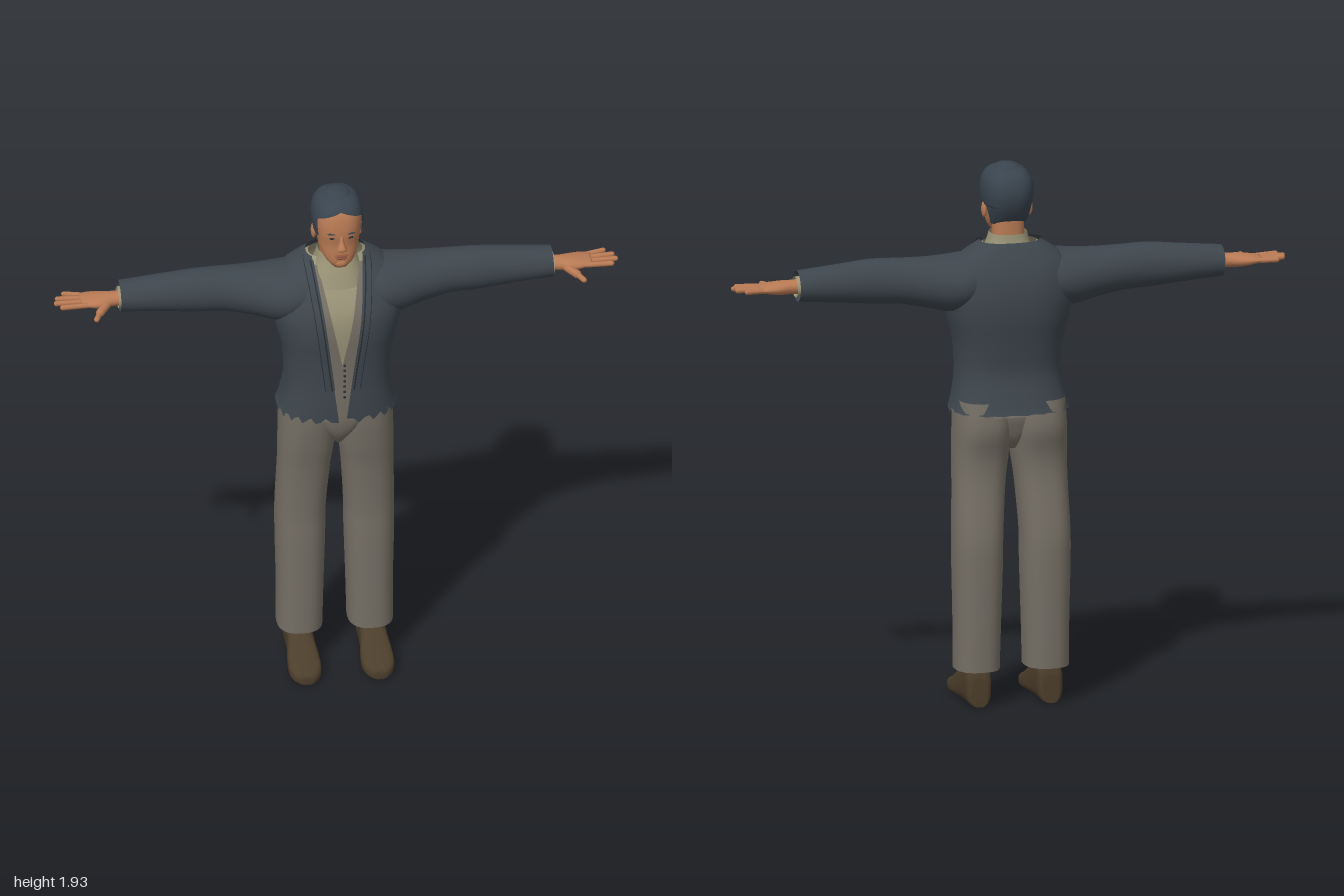
import * as THREE from 'three';

const mat = (name, color, side = THREE.DoubleSide) =>
  Object.assign(new THREE.MeshStandardMaterial({ color, side }), { name });
const V = (x, y, z) => new THREE.Vector3(x, y, z);
const pw = (v, e = 0.8) => Math.sign(v) * Math.abs(v) ** e;

// Spline through every column of a table of cross-sections
function smooth(rows, steps = 4) {
  const cols = rows[0].map((_, k) => new THREE.SplineCurve(rows.map((r, i) => new THREE.Vector2(i, r[k]))));
  const n = (rows.length - 1) * steps;
  return Array.from({ length: n + 1 }, (_, i) => cols.map(c => c.getPoint(i / n).y));
}

// Cross-section at height y, from a dense table
function at(rows, y) {
  let i = 0;
  while (i < rows.length - 2 && rows[i + 1][0] < y) i++;
  const t = THREE.MathUtils.clamp((y - rows[i][0]) / (rows[i + 1][0] - rows[i][0]), 0, 1);
  return rows[i].map((v, k) => v + (rows[i + 1][k] - v) * t);
}

// Skin over cross-sections; span(row) limits the arc, otherwise rings are closed
function loft(name, material, rows, ring, { n = 28, span = null, caps = false } = {}) {
  const pos = [], idx = [], w = span ? n + 1 : n;
  rows.forEach(r => {
    const [a0, a1] = span ? span(r) : [0, Math.PI * 2];
    for (let j = 0; j < w; j++) pos.push(...ring(r, a0 + (a1 - a0) * j / n).toArray());
  });
  for (let i = 0; i < rows.length - 1; i++) for (let j = 0; j < n; j++) {
    const a = i * w + j, b = i * w + (j + 1) % w;
    idx.push(a, b, a + w, b, b + w, a + w);
  }
  if (caps) [0, rows.length - 1].forEach((i, end) => {
    const c = V(0, 0, 0), id = pos.length / 3;
    for (let j = 0; j < n; j++) c.add(V(...pos.slice((i * w + j) * 3, (i * w + j) * 3 + 3)));
    pos.push(...c.divideScalar(n).toArray());
    for (let j = 0; j < n; j++) {
      const a = i * w + j, b = i * w + (j + 1) % n;
      end ? idx.push(a, b, id) : idx.push(b, a, id);
    }
  });
  const g = new THREE.BufferGeometry();
  g.setAttribute('position', new THREE.Float32BufferAttribute(pos, 3));
  g.setIndex(idx);
  g.computeVertexNormals();
  const m = new THREE.Mesh(g, material);
  m.name = name;
  return m;
}

// Rings across y [y, rx, zFront, zBack, xCentre], across x [x, y, ry, z, rz], across z [z, rx, h]
const ringY = ([y, rx, f, b, xc = 0], a) => V(xc + rx * pw(Math.sin(a)), y, (f + b) / 2 + (f - b) / 2 * pw(Math.cos(a)));
const ringX = ([x, y, ry, z, rz], a) => V(x, y + ry * Math.cos(a), z + rz * Math.sin(a));
const ringZ = ([z, rx, h], a) => V(rx * pw(Math.cos(a), 0.7), h / 2 + h / 2 * pw(Math.sin(a), 0.6), z);

const TORSO = smooth([
  [1.05, 0.212, 0.148, -0.17], [1.12, 0.195, 0.15, -0.152], [1.2, 0.186, 0.15, -0.138], [1.3, 0.194, 0.155, -0.15],
  [1.4, 0.218, 0.163, -0.168], [1.48, 0.23, 0.155, -0.172], [1.55, 0.222, 0.122, -0.162], [1.6, 0.195, 0.088, -0.142],
  [1.64, 0.145, 0.055, -0.118], [1.665, 0.105, 0.04, -0.1]]);
const HEAD = smooth([
  [1.667, 0.026, 0.108, 0.06], [1.69, 0.05, 0.119, 0.0], [1.72, 0.066, 0.12, -0.04], [1.76, 0.074, 0.119, -0.07],
  [1.8, 0.08, 0.124, -0.088], [1.84, 0.083, 0.121, -0.093], [1.88, 0.076, 0.11, -0.083], [1.91, 0.055, 0.082, -0.056],
  [1.926, 0.018, 0.035, -0.012]]);

const heights = (a, b, n) => Array.from({ length: n + 1 }, (_, i) => a + (b - a) * i / n);
const grow = (table, ys, o) => ys.map(y => at(table, y)).map(([y, rx, f, b]) => [y, rx + o, f + o, b - o]);
const angleAt = (row, x) => Math.asin(Math.min(0.985, Math.max(0, x) / row[1]) ** 1.25);
const opening = y => 0.03 + (y - 1.19) * 0.125;
const around = a => [a, Math.PI * 2 - a];

function ball(name, material, p, s) {
  const m = new THREE.Mesh(new THREE.SphereGeometry(1, 14, 10), material);
  m.position.set(...p);
  m.scale.set(...s);
  m.name = name;
  return m;
}

function limb(name, material, p0, p1, r) {
  const a = V(...p0), d = V(...p1).sub(a);
  const m = new THREE.Mesh(new THREE.CapsuleGeometry(r, d.length(), 4, 10), material);
  m.position.copy(a).addScaledVector(d, 0.5);
  m.quaternion.setFromUnitVectors(V(0, 1, 0), d.normalize());
  m.name = name;
  return m;
}

export function createModel() {
  const model = new THREE.Group();
  model.name = 'standingMan';
  const jacket = mat('jacketSlate', 0x3e464d), trim = mat('trimDark', 0x292d31), hair = mat('hairSlate', 0x39444e);
  const trousers = mat('trouserGrey', 0x756f65), shirt = mat('shirtKhaki', 0x9a9377), skin = mat('skin', 0xb87a54);
  const lip = mat('lipBrown', 0x8f5440), shoe = mat('shoeBrown', 0x4c3e2b);
  const add = (...m) => model.add(...m);

  // Torso layers: shirt, vest open in a V, open jacket with a ragged hem
  add(loft('shirt', shirt, grow(TORSO, heights(1.12, 1.66, 24), -0.018), ringY, { n: 40 }));
  add(loft('vest', trousers, grow(TORSO, heights(1.05, 1.64, 28), -0.011), ringY,
    { n: 56, span: r => around(angleAt(r, (r[0] - 1.28) * 0.2)) }));
  const ragged = (r, a) => {
    const p = ringY(r, a);
    if (r[0] < 1.06) p.y += 0.013 * Math.sin(a * 23) * (Math.cos(a) > -0.2 ? 1 : 0.15) + 0.008;
    return p;
  };
  add(loft('jacketBody', jacket, grow(TORSO, heights(1.05, 1.665, 32), 0), ragged,
    { n: 72, span: r => around(angleAt(r, opening(r[0]))) }));

  // Vest buttons
  for (let i = 0; i < 7; i++) {
    const y = 1.15 + i * 0.022;
    add(ball('vestButton', trim, [0.008, y, at(TORSO, y)[2] - 0.011], [0.005, 0.005, 0.004]));
  }

  // Shirt collar and neck
  add(loft('collar', shirt, smooth([[1.57, 0.105, 0.1, -0.1], [1.62, 0.088, 0.082, -0.085], [1.66, 0.073, 0.066, -0.074],
    [1.688, 0.066, 0.058, -0.07]]), ringY));
  add(loft('neck', skin, smooth([[1.62, 0.058, 0.045, -0.06], [1.69, 0.056, 0.045, -0.06], [1.76, 0.056, 0.05, -0.06]]), ringY));

  // Head, with cropped hair following the skull
  add(loft('head', skin, HEAD, ringY, { n: 36, caps: true }));
  const hairline = y => y < 1.785 ? 2.15 - (y - 1.72) * 4 : y < 1.86 ? 1.02 : Math.max(0, 1.02 - (y - 1.86) * 34);
  add(loft('hair', hair, grow(HEAD, heights(1.72, 1.926, 42), 0.007), ringY,
    { n: 48, span: r => around(hairline(r[0])) }));
  add(ball('hairCrown', hair, [0, 1.918, 0.012], [0.045, 0.014, 0.052]));

  // Face
  add(loft('nose', skin, smooth([[1.742, 0.009, 0.126, 0.1], [1.75, 0.019, 0.143, 0.1], [1.76, 0.015, 0.147, 0.1],
    [1.78, 0.009, 0.134, 0.1], [1.805, 0.007, 0.124, 0.1]]), ringY, { n: 14, caps: true }));
  add(ball('upperLip', lip, [0, 1.721, 0.117], [0.024, 0.005, 0.01]));
  add(ball('lowerLip', lip, [0, 1.712, 0.117], [0.021, 0.006, 0.01]));
  add(ball('chin', skin, [0, 1.688, 0.105], [0.026, 0.019, 0.019]));

  for (const s of [1, -1]) {
    const side = new THREE.Group();
    side.name = s > 0 ? 'leftSide' : 'rightSide';
    side.scale.x = s;

    side.add(ball('ear', skin, [0.082, 1.768, 0.008], [0.01, 0.03, 0.018]));
    side.add(ball('eye', trim, [0.031, 1.794, 0.117], [0.012, 0.004, 0.005]));
    const brow = ball('eyebrow', hair, [0.032, 1.811, 0.118], [0.018, 0.0035, 0.005]);
    brow.rotation.z = 0.1;
    side.add(brow);

    // Lapel with a dark seam
    const strip = (name, m, o, x0, x1) => loft(name, m, grow(TORSO, heights(1.19, 1.66, 24), o), ringY,
      { n: 4, span: r => [angleAt(r, opening(r[0]) + x0), angleAt(r, opening(r[0]) + x1)] });
    side.add(strip('lapel', jacket, 0.009, -0.002, 0.03));
    side.add(strip('lapelSeam', trim, 0.011, 0.006, 0.011), strip('lapelEdge', trim, 0.008, 0.028, 0.033));

    // Sleeve and cuff
    side.add(loft('sleeve', jacket, smooth([[0.06, 1.54, 0.08, -0.01, 0.1], [0.15, 1.525, 0.097, -0.015, 0.13],
      [0.22, 1.518, 0.1, -0.02, 0.122], [0.3, 1.526, 0.09, -0.025, 0.098], [0.4, 1.537, 0.081, -0.027, 0.078],
      [0.5, 1.541, 0.079, -0.024, 0.07], [0.62, 1.541, 0.068, -0.026, 0.064], [0.766, 1.54, 0.055, -0.026, 0.058]]), ringX));
    side.add(loft('cuff', shirt, [[0.7, 1.538, 0.04, -0.024, 0.046], [0.772, 1.536, 0.036, -0.022, 0.043]], ringX));

    // Hand
    side.add(loft('palm', skin, smooth([[0.7, 1.536, 0.03, -0.02, 0.034], [0.78, 1.536, 0.025, -0.018, 0.031],
      [0.83, 1.535, 0.024, -0.017, 0.045], [0.87, 1.536, 0.018, -0.021, 0.048], [0.905, 1.537, 0.01, -0.024, 0.042]]),
      ringX, { n: 18, caps: true }));
    [[0.015, 0.022, 0.972], [-0.011, -0.008, 0.99], [-0.034, -0.038, 0.982], [-0.054, -0.068, 0.955]].forEach(([z0, z1, x]) =>
      side.add(limb('finger', skin, [0.885, 1.536, z0], [x, 1.539, z1], 0.0095)));
    side.add(limb('thumbBase', skin, [0.815, 1.53, 0.012], [0.845, 1.526, 0.055], 0.015));
    side.add(limb('thumb', skin, [0.845, 1.526, 0.055], [0.863, 1.525, 0.095], 0.01));

    // Trouser leg
    side.add(loft('trouserLeg', trousers, smooth([[0.13, 0.08, 0.046, -0.14, 0.125], [0.3, 0.082, 0.05, -0.147, 0.123],
      [0.5, 0.087, 0.055, -0.154, 0.122], [0.62, 0.088, 0.056, -0.153, 0.121], [0.8, 0.092, 0.073, -0.13, 0.112],
      [0.9, 0.098, 0.09, -0.132, 0.105], [1.0, 0.1, 0.104, -0.155, 0.1], [1.1, 0.098, 0.11, -0.145, 0.097]]), ringY));

    // Shoe
    const boot = loft('shoe', shoe, smooth([[-0.12, 0.028, 0.1], [-0.105, 0.044, 0.14], [-0.04, 0.046, 0.15],
      [0.02, 0.049, 0.122], [0.08, 0.057, 0.08], [0.13, 0.057, 0.058], [0.165, 0.044, 0.045], [0.18, 0.022, 0.03]]),
      ringZ, { n: 24, caps: true });
    boot.position.x = 0.129;
    side.add(boot);
    add(side);
  }

  // Trouser hips, joining the legs
  add(loft('trouserHips', trousers, smooth([[0.92, 0.02, 0.065, -0.08], [0.96, 0.06, 0.092, -0.11], [1.0, 0.11, 0.106, -0.125],
    [1.05, 0.16, 0.112, -0.135], [1.12, 0.18, 0.115, -0.125]]), ringY, { caps: true }));
  return model;
}
